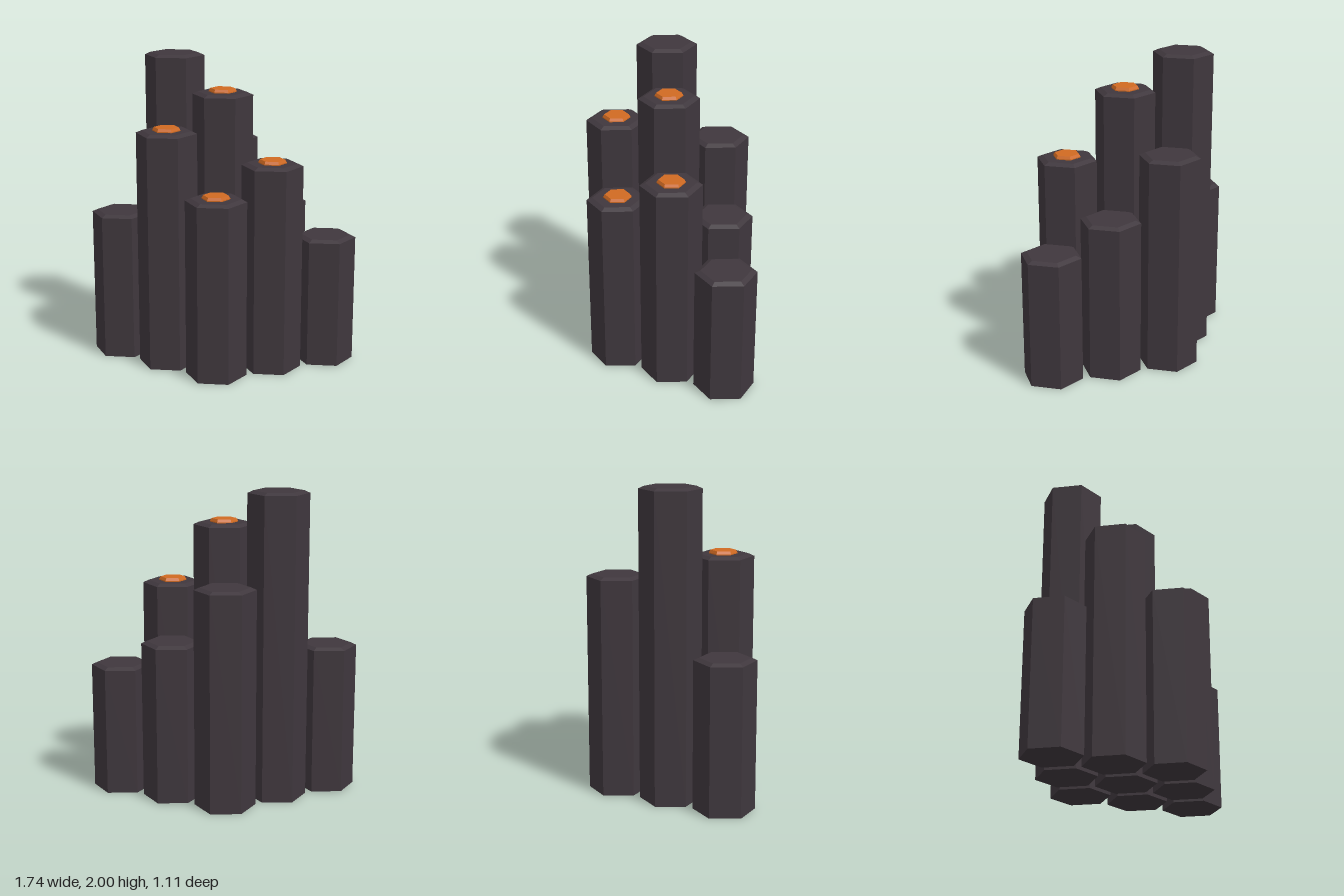
import * as THREE from 'three';

const RADIUS = 0.196;   // column corner radius
const STEP_X = 0.337;   // spacing of the hexagonal grid
const STEP_Z = 0.192;

// Closed six-sided prism with a bevelled top; corners point along x.
function hexPrism(profile, material, name) {
  const points = profile.map(([r, y]) => new THREE.Vector2(r, y));
  const geometry = new THREE.LatheGeometry(points, 6, Math.PI / 6);
  const mesh = new THREE.Mesh(geometry, material);
  mesh.name = name;
  return mesh;
}

export function createModel() {
  const model = new THREE.Group();
  model.name = 'basaltColumns';

  const basalt = new THREE.MeshStandardMaterial({ color: 0x3f373d, flatShading: true });
  basalt.name = 'darkBasalt';
  const ember = new THREE.MeshStandardMaterial({ color: 0xd06a22, flatShading: true });
  ember.name = 'emberOrange';

  // Grid column, grid row, height, ember cap
  const columns = [
    [0, -2, 1.425, false],
    [-1, -1, 2.0, false],
    [1, -1, 1.04, false],
    [-2, 0, 0.977, false],
    [0, 0, 1.778, true],
    [2, 0, 0.852, false],
    [-1, 1, 1.555, true],
    [1, 1, 1.363, true],
    [0, 2, 1.17, true],
  ];

  for (const [i, j, height, capped] of columns) {
    const column = new THREE.Group();
    column.name = 'column';
    column.position.set(i * STEP_X, 0, j * STEP_Z);

    // Shaft with a shallow bevel around its top
    column.add(hexPrism(
      [[0, 0], [RADIUS, 0], [RADIUS, height - 0.016], [0.16, height], [0, height]],
      basalt, 'shaft'));

    // Raised ember plate
    if (capped) {
      const cap = hexPrism([[0, 0], [0.09, 0], [0.09, 0.006], [0.08, 0.023], [0, 0.023]], ember, 'emberCap');
      cap.position.y = height;
      column.add(cap);
    }
    model.add(column);
  }
  return model;
}
